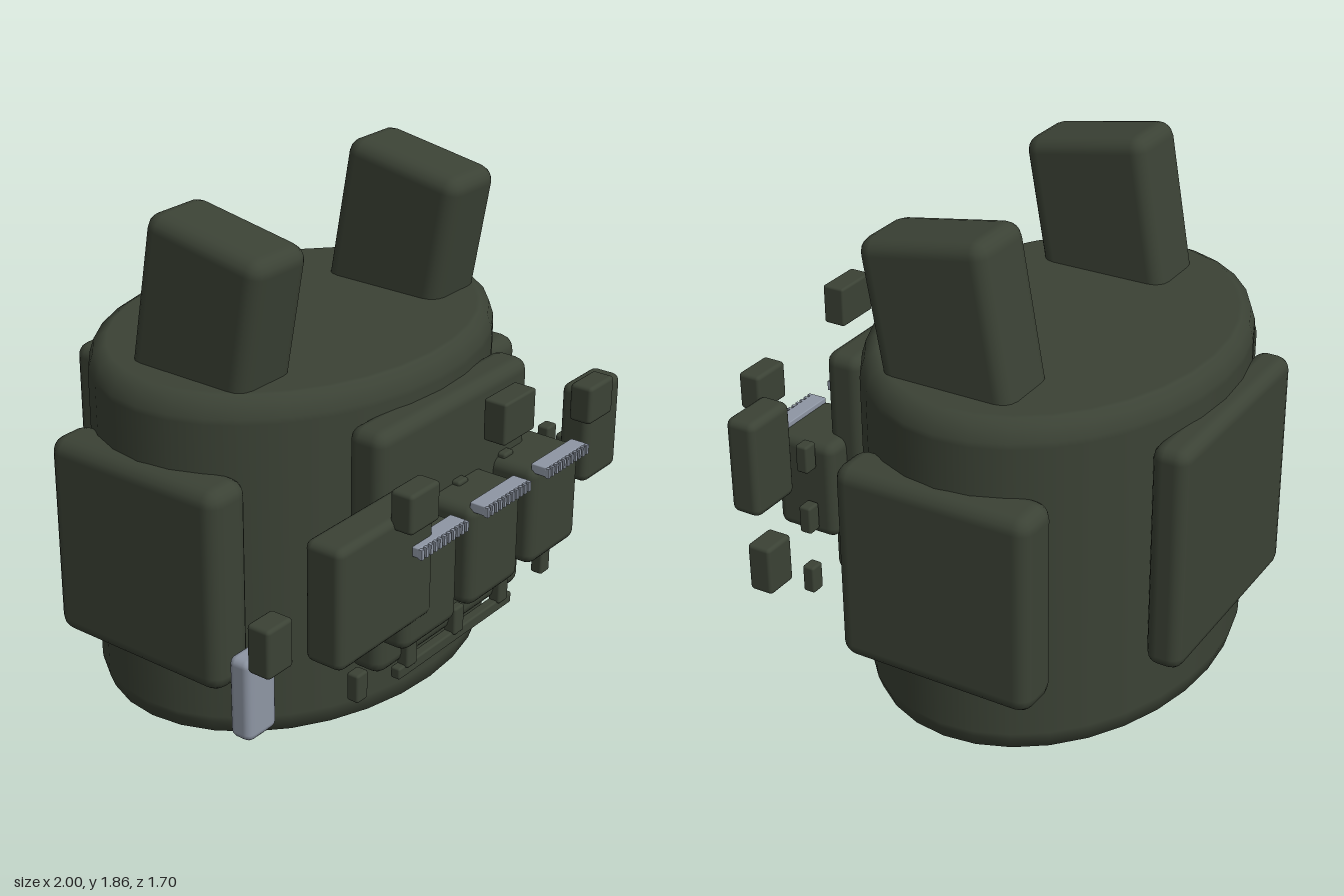
import * as THREE from 'three';
import { RoundedBoxGeometry } from 'three/addons/geometries/RoundedBoxGeometry.js';

export function createModel() {
  const model = new THREE.Group();
  model.name = 'tacticalVest';
  const fabric = new THREE.MeshStandardMaterial({ color: 0x3b4235 });
  fabric.name = 'dark olive fabric';
  const metal = new THREE.MeshStandardMaterial({ color: 0x8e96a4 });
  metal.name = 'grey metal';

  // Soft-edged box given by its limits on each axis
  function box(name, [x0, x1], [y0, y1], [z0, z1], radius, material = fabric) {
    const geometry = new RoundedBoxGeometry(x1 - x0, y1 - y0, z1 - z0, 2, radius);
    const mesh = new THREE.Mesh(geometry, material);
    mesh.name = name;
    mesh.position.set((x0 + x1) / 2, (y0 + y1) / 2, (z0 + z1) / 2);
    model.add(mesh);
    return mesh;
  }
  const span = (c, size) => [c - size / 2, c + size / 2];

  // Oval torso with a rounded rim at top and bottom
  const half = [[0, 0], [0.91, 0], [0.93, 0.002], [0.975, 0.02], [0.997, 0.07], [1, 0.09]];
  const profile = [
    ...half.map(([r, y]) => new THREE.Vector2(r, y)),
    ...half.slice().reverse().map(([r, y]) => new THREE.Vector2(r, 1.315 - y)),
  ];
  const torso = new THREE.Mesh(new THREE.LatheGeometry(profile, 32), fabric);
  torso.name = 'torso';
  torso.scale.set(0.857, 1, 0.65);
  torso.position.z = -0.135;
  model.add(torso);

  // Armour panels
  box('frontPlate', [-0.45, 0.45], [0.26, 1.19], [0.44, 0.595], 0.05);
  box('backPlate', [-0.435, 0.435], [0.285, 1.16], [-0.85, -0.71], 0.05);

  for (const side of [-1, 1]) {
    const label = side > 0 ? 'left' : 'right';
    box(label + 'SidePlate', span(side * 0.815, 0.19), [0.275, 1.045], [-0.52, 0.25], 0.06);

    // Shoulder straps tilt forward
    const strap = box(label + 'ShoulderStrap', span(side * 0.55, 0.28),
      span(1.432, 0.8), span(-0.045, 0.51), 0.06);
    strap.rotation.x = 0.175;

    box(label + 'ShoulderBuckle', span(side * 0.545, 0.16), [0.975, 1.12], [0.755, 0.845], 0.015);
    box(label + 'SideBuckle', span(side * 0.935, 0.13), [0.505, 0.69], [0.46, 0.555], 0.015);
  }

  // Magazine pouches with toothed closures
  [-0.388, -0.002, 0.385].forEach((x) => {
    box('magazinePouch', span(x, 0.315), [0.47, 0.86], [0.51, 0.77], 0.04);
    box('pouchZip', span(x, 0.27), [0.84, 0.877], [0.74, 0.802], 0.004, metal);
    for (let i = 0; i < 11; i++) {
      const tooth = new THREE.Mesh(new THREE.BoxGeometry(0.013, 0.037, 0.016), metal);
      tooth.name = 'zipTooth';
      tooth.position.set(x + (i - 5) * 0.0257, 0.856, 0.808);
      model.add(tooth);
    }
  });

  // Gear on the front
  box('utilityPouch', [-0.908, -0.395], [0.57, 1.015], [0.625, 0.777], 0.03);
  box('radioPouch', [0.595, 0.82], [0.665, 1.045], [0.64, 0.765], 0.03);
  box('chestBuckle', [-0.095, 0.092], [1.1, 1.255], [0.755, 0.845], 0.01);
  box('hipCanister', [-0.95, -0.797], [0.18, 0.497], [0.33, 0.425], 0.03, metal);

  // Webbing rows and loops
  for (const y of [0.242, 0.467, 0.695]) {
    box('webbingStrap', [-0.358, 0.355], span(y, 0.045), [0.575, 0.615], 0.008);
  }
  for (const y of [0.308, 0.565, 0.82]) {
    for (const x of [-0.58, -0.29, 0, 0.29, 0.58]) {
      box('webbingLoop', span(x - 0.003, 0.06), span(y, 0.11), [0.575, 0.625], 0.01);
    }
  }
  return model;
}
